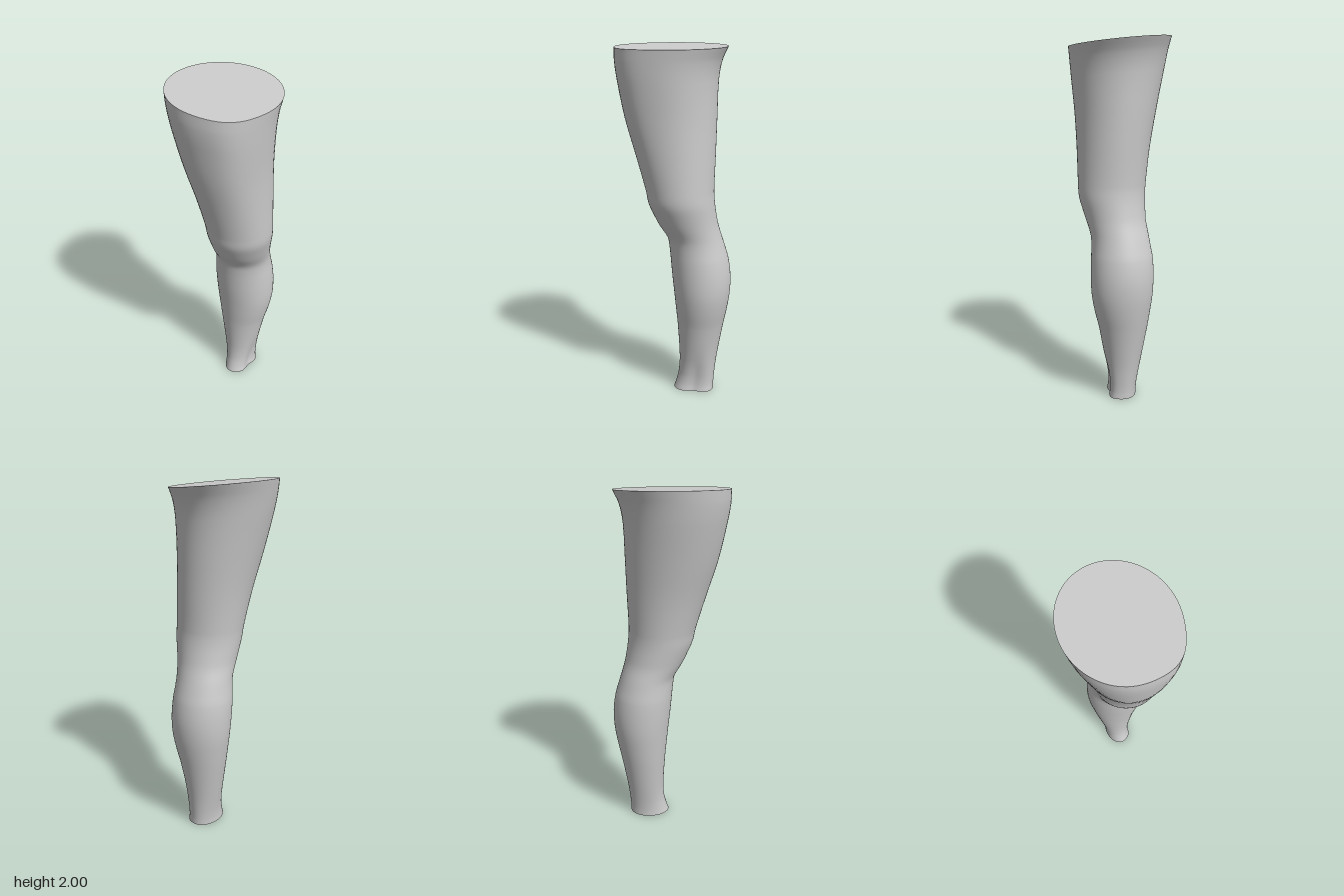
import * as THREE from 'three';

// Leg sections from ankle to thigh: height, x min, x max, z back, z front
const SECTIONS = [
  [0.00, -0.057, 0.110, -0.233, 0.000],
  [0.04, -0.057, 0.104, -0.233, -0.013],
  [0.10, -0.063, 0.106, -0.238, -0.027],
  [0.20, -0.080, 0.120, -0.250, -0.032],
  [0.40, -0.115, 0.155, -0.285, -0.020],
  [0.50, -0.130, 0.180, -0.305, -0.010],
  [0.60, -0.143, 0.197, -0.320, 0.000],
  [0.70, -0.148, 0.200, -0.323, 0.011],
  [0.80, -0.146, 0.196, -0.310, 0.020],
  [0.87, -0.136, 0.191, -0.290, 0.027],
  [0.93, -0.128, 0.193, -0.271, 0.038],
  [1.00, -0.121, 0.210, -0.250, 0.082],
  [1.06, -0.122, 0.226, -0.238, 0.112],
  [1.13, -0.125, 0.243, -0.228, 0.142],
  [1.20, -0.130, 0.246, -0.223, 0.156],
  [1.40, -0.158, 0.246, -0.229, 0.212],
  [1.60, -0.200, 0.250, -0.234, 0.270],
  [1.80, -0.245, 0.264, -0.240, 0.310],
  [1.90, -0.265, 0.272, -0.258, 0.324],
  [1.972, -0.280, 0.280, -0.291, 0.325],
];
const SEGMENTS = 64;
const ROWS_BETWEEN = 3;

const bump = (angle, centre, width) => {
  const d = Math.atan2(Math.sin(angle - centre), Math.cos(angle - centre));
  return Math.exp(-((d / width) ** 2));
};

// Interpolates the sections smoothly along the leg
function sectionAt(row) {
  const i = Math.min(Math.floor(row), SECTIONS.length - 2);
  const t = row - i;
  const at = (k) => SECTIONS[THREE.MathUtils.clamp(k, 0, SECTIONS.length - 1)];
  const [p, a, b, n] = [at(i - 1), at(i), at(i + 1), at(i + 2)];
  const h = b[0] - a[0];
  return a.map((v, k) => {
    if (k === 0) return v + h * t;
    const m0 = ((b[k] - p[k]) / (b[0] - p[0])) * h;
    const m1 = ((n[k] - a[k]) / (n[0] - a[0])) * h;
    return (2 * t ** 3 - 3 * t ** 2 + 1) * v + (t ** 3 - 2 * t ** 2 + t) * m0
      + (3 * t ** 2 - 2 * t ** 3) * b[k] + (t ** 3 - t ** 2) * m1;
  });
}

function ring(row) {
  const [y, x0, x1, z0, z1] = sectionAt(row);
  const thigh = THREE.MathUtils.smoothstep(y, 1.1, 1.9);
  const ankle = 1 - THREE.MathUtils.smoothstep(y, 0, 0.3);
  const points = [];
  for (let s = 0; s < SEGMENTS; s++) {
    const a = (s / SEGMENTS) * Math.PI * 2;
    // fuller front of the thigh, hollow beside the heel tendon
    const r = 1 + 0.07 * thigh * bump(a, 0.8, 0.4)
      - 0.22 * ankle * bump(a, 0.05, 0.4) + 0.1 * ankle * bump(a, -0.75, 0.4);
    const x = (x0 + x1) / 2 + ((x1 - x0) / 2) * r * Math.cos(a);
    const z = (z0 + z1) / 2 + ((z1 - z0) / 2) * r * Math.sin(a);
    // the upper cut slopes down towards +x
    points.push(new THREE.Vector3(x, y - 0.098 * x * thigh, z));
  }
  return points;
}

function makeMesh(name, points, index) {
  const geometry = new THREE.BufferGeometry().setFromPoints(points);
  geometry.setIndex(index);
  geometry.computeVertexNormals();
  const mesh = new THREE.Mesh(geometry, new THREE.MeshStandardMaterial({ color: 0xcccccc }));
  mesh.name = name;
  return mesh;
}

// Flat cut closing one end of the leg
function makeCap(name, rim, facesUp) {
  const centre = rim.reduce((sum, p) => sum.add(p), new THREE.Vector3()).divideScalar(rim.length);
  const index = [];
  for (let s = 0; s < SEGMENTS; s++) {
    const n = (s + 1) % SEGMENTS;
    index.push(SEGMENTS, facesUp ? n : s, facesUp ? s : n);
  }
  return makeMesh(name, [...rim, centre], index);
}

export function createModel() {
  const group = new THREE.Group();
  group.name = 'leg';

  const rowCount = (SECTIONS.length - 1) * ROWS_BETWEEN;
  const rings = [];
  for (let r = 0; r <= rowCount; r++) rings.push(ring(r / ROWS_BETWEEN));

  // Skin lofted through the rings
  const index = [];
  for (let r = 0; r < rowCount; r++) {
    for (let s = 0; s < SEGMENTS; s++) {
      const n = (s + 1) % SEGMENTS;
      const a = r * SEGMENTS + s, b = r * SEGMENTS + n;
      index.push(a, a + SEGMENTS, b, b, a + SEGMENTS, b + SEGMENTS);
    }
  }
  group.add(makeMesh('skin', rings.flat(), index));
  group.add(makeCap('ankleCut', rings[0], false));
  group.add(makeCap('thighCut', rings[rowCount], true));
  return group;
}
